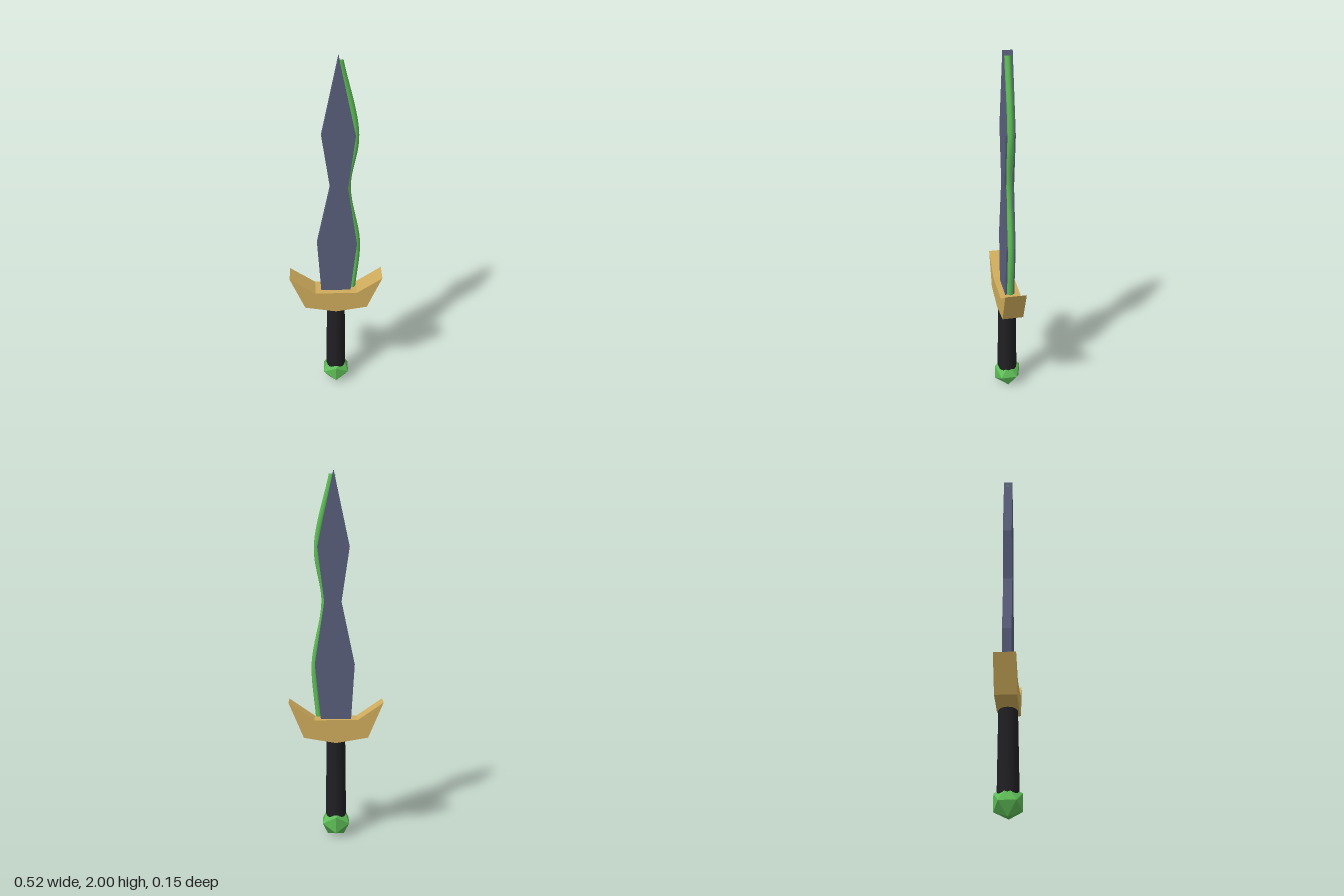
import * as THREE from 'three';

const material = (color, extra = {}) => new THREE.MeshStandardMaterial({ color, ...extra });

function addPart(group, name, geometry, mat) {
  const mesh = new THREE.Mesh(geometry, mat);
  mesh.name = name;
  group.add(mesh);
  return mesh;
}

// Flat plate cut from an outline, centred on z = 0
function plate(outline, depth) {
  const shape = new THREE.Shape(outline.map(([x, y]) => new THREE.Vector2(x, y)));
  return new THREE.ExtrudeGeometry(shape, { depth, bevelEnabled: false }).translate(0, 0, -depth / 2);
}

export function createModel() {
  const sword = new THREE.Group();
  sword.name = 'sword';
  const green = 0x5fbf58;

  // Wavy leaf-shaped blade, running down into the guard
  addPart(sword, 'blade', plate([
    [-0.08, 0.6], [0.08, 0.6], [0.083, 0.67], [0.115, 0.97], [0.063, 1.31], [0.1, 1.6],
    [0.013, 2], [-0.073, 1.6], [-0.03, 1.31], [-0.102, 0.97], [-0.083, 0.67],
  ], 0.051), material(0x5a5f7c));

  // Rounded strip along the cutting edge
  const edgePath = new THREE.CatmullRomCurve3(
    [[0.093, 0.68], [0.115, 0.97], [0.061, 1.31], [0.1, 1.6], [0.02, 1.976]]
      .map(([x, y]) => new THREE.Vector3(x, y, 0)));
  addPart(sword, 'edgeStrip', new THREE.TubeGeometry(edgePath, 48, 0.0175, 8),
    material(green, { side: THREE.DoubleSide }));

  // Crescent guard with upswept tips
  addPart(sword, 'guard', plate([
    [0, 0.54], [0.175, 0.57], [0.258, 0.765], [0.117, 0.668],
    [-0.117, 0.668], [-0.258, 0.765], [-0.175, 0.57],
  ], 0.116), material(0xcfac5c));

  // Grip, slightly wider toward the pommel
  const grip = addPart(sword, 'grip', new THREE.CylinderGeometry(0.051, 0.057, 0.48, 24),
    material(0x202024));
  grip.position.y = 0.34;

  // Faceted gem pommel
  const pommel = addPart(sword, 'pommel', new THREE.IcosahedronGeometry(0.086, 0),
    material(green, { flatShading: true }));
  pommel.position.y = 0.074;

  return sword;
}
